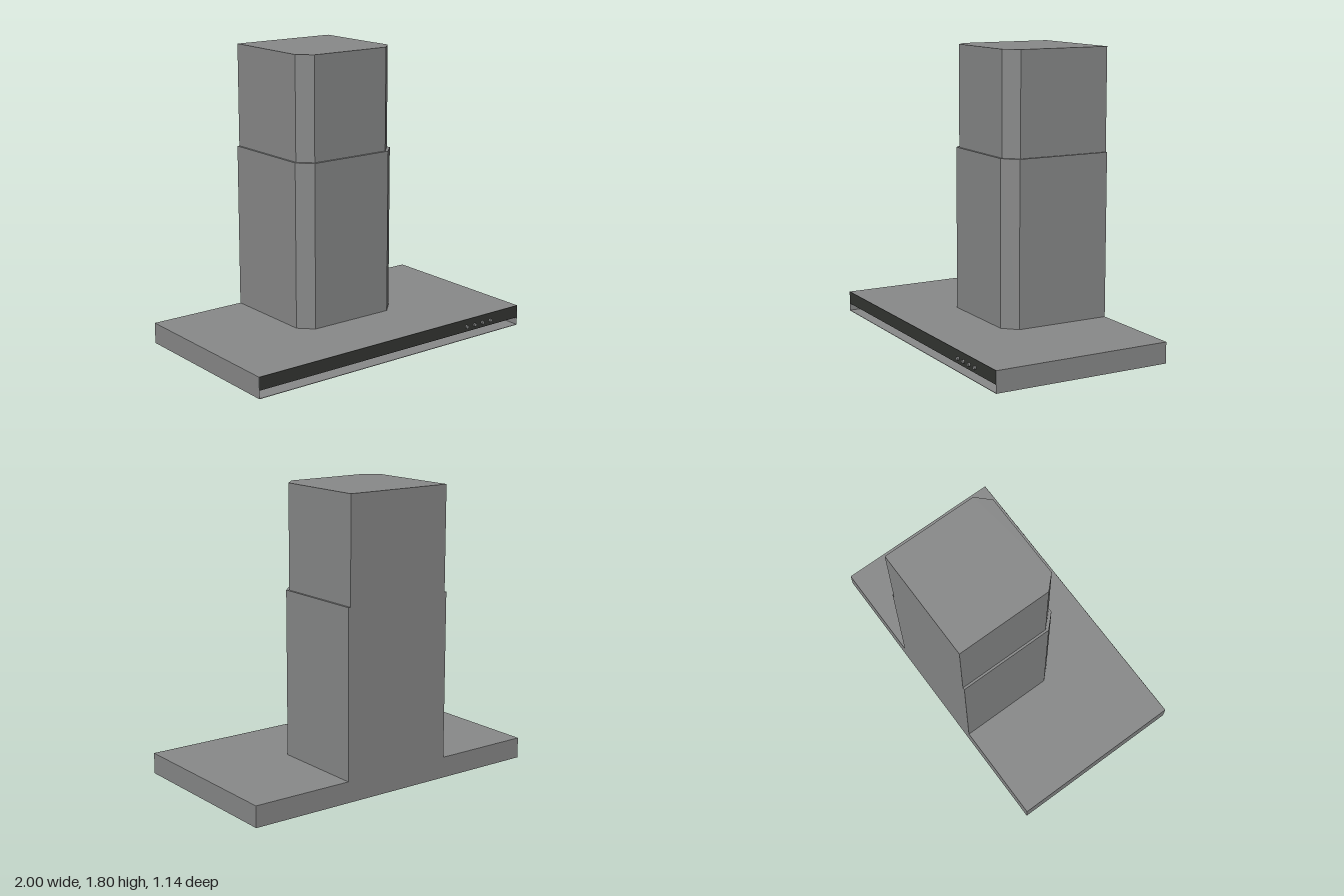
import * as THREE from 'three';

export function createModel() {
  const model = new THREE.Group();
  model.name = 'cookerHood';

  const steel = new THREE.MeshStandardMaterial({ color: 0x888989 });
  steel.name = 'brushed steel';
  const black = new THREE.MeshStandardMaterial({ color: 0x343633 });
  black.name = 'black glass';

  const add = (name, geometry, material, x = 0, y = 0, z = 0) => {
    const mesh = new THREE.Mesh(geometry, material);
    mesh.name = name;
    mesh.position.set(x, y, z);
    model.add(mesh);
    return mesh;
  };
  const shapeOf = (points) => new THREE.Shape(points.map(([a, b]) => new THREE.Vector2(a, b)));

  const back = -0.57, front = 0.56, top = 0.13, slot = 0.05;
  const wall = 0.002, floor = 0.003, panelDepth = 0.003, slotBack = 0.3;

  // Canopy: side profile (z, y) with an open slot under the front fascia
  const width = 2 - 2 * wall;
  const canopy = new THREE.ExtrudeGeometry(shapeOf([
    [back, 0], [front, 0], [front, floor], [slotBack, floor],
    [slotBack, slot], [front - panelDepth, slot], [front - panelDepth, top], [back, top],
  ]), { depth: width, bevelEnabled: false });
  canopy.translate(0, 0, -width / 2).rotateY(-Math.PI / 2);
  add('canopy', canopy, steel);

  // Thin end walls closing the slot on both sides
  for (const side of [-1, 1]) {
    add(side > 0 ? 'leftEndWall' : 'rightEndWall',
      new THREE.BoxGeometry(wall, top, front - back), steel,
      side * (1 - wall / 2), top / 2, (front + back) / 2);
  }

  // Dark control fascia
  add('controlFascia', new THREE.BoxGeometry(width, top - slot, panelDepth), black,
    0, (top + slot) / 2, front - panelDepth / 2);

  // Small control buttons on the model's left
  for (let i = 0; i < 4; i++) {
    const button = new THREE.CylinderGeometry(0.011, 0.011, 0.012, 16).rotateX(Math.PI / 2);
    add('controlButton' + (i + 1), button, steel, 0.56 + i * 0.067, 0.082, front + 0.005);
  }

  // Chimney sleeves: rectangular plan with chamfered front corners
  const sleeve = (name, half, frontZ, chamfer, y0, y1) => {
    const plan = shapeOf([
      [-half, -back], [-half, -frontZ + chamfer], [-half + chamfer, -frontZ],
      [half - chamfer, -frontZ], [half, -frontZ + chamfer], [half, -back],
    ]);
    const geometry = new THREE.ExtrudeGeometry(plan, { depth: y1 - y0, bevelEnabled: false });
    geometry.rotateX(-Math.PI / 2);
    add(name, geometry, steel, -0.004, y0, 0);
  };
  sleeve('lowerChimney', 0.364, 0.125, 0.083, top, 1.16);
  sleeve('upperChimney', 0.35, 0.11, 0.08, 1.16, 1.8);

  return model;
}
